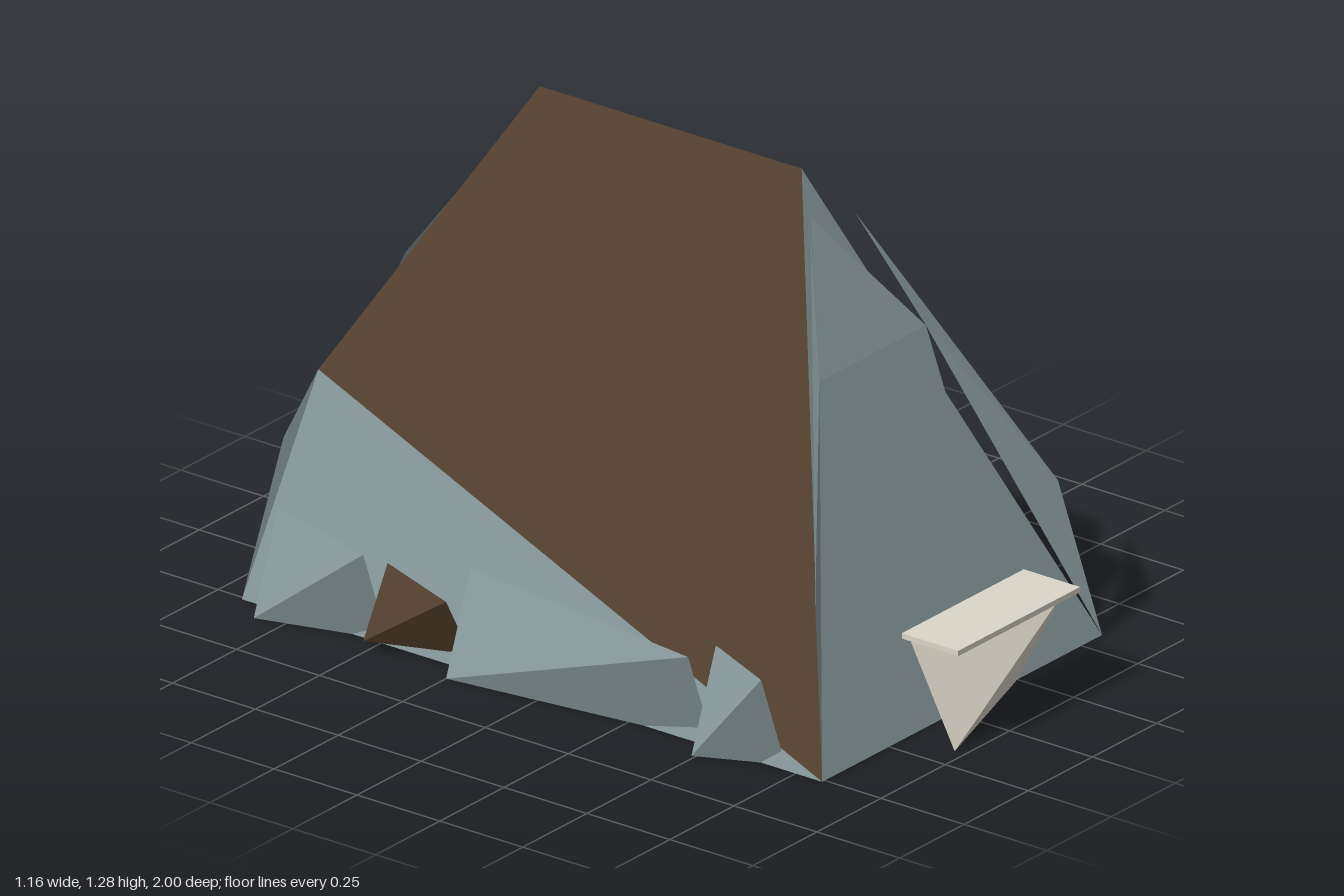
import * as THREE from 'three';

const paint = (name, color) => {
  const m = new THREE.MeshStandardMaterial({ color, side: THREE.DoubleSide });
  m.name = name;
  return m;
};

// Flat faceted mesh from corner loops, each triangle wound away from centre
function facets(name, material, centre, loops) {
  const c = new THREE.Vector3(...centre);
  const tri = new THREE.Triangle(), n = new THREE.Vector3(), mid = new THREE.Vector3();
  const pos = [];
  for (const loop of loops) {
    const p = loop.map((q) => new THREE.Vector3(...q));
    for (let i = 1; i < p.length - 1; i++) {
      tri.set(p[0], p[i], p[i + 1]);
      tri.getNormal(n);
      tri.getMidpoint(mid);
      const t = n.dot(mid.sub(c)) < 0 ? [p[0], p[i + 1], p[i]] : [p[0], p[i], p[i + 1]];
      t.forEach((v) => pos.push(v.x, v.y, v.z));
    }
  }
  const g = new THREE.BufferGeometry();
  g.setAttribute('position', new THREE.Float32BufferAttribute(pos, 3));
  g.computeVertexNormals();
  const mesh = new THREE.Mesh(g, material);
  mesh.name = name;
  return mesh;
}

export function createModel() {
  const model = new THREE.Group();
  model.name = 'cabin';
  const teal = paint('greyTeal', 0x8a9b9d);
  const brown = paint('darkBrown', 0x523f2e);
  const cream = paint('cream', 0xdad6c8);
  const centre = [0.03, 0.4, -0.05];
  const add = (name, mat, loops, c = centre) => model.add(facets(name, mat, c, loops));

  // Main corners of the hull
  const ridgeF = [0.03, 1.28, 0.35], ridgeB = [0.03, 1.28, -0.44];
  const rightF = [-0.51, 0, 0.83], leftF = [0.58, 0, 0.83];
  const rightB = [-0.51, 0, -0.92], leftB = [0.58, 0, -0.92];
  const rightK = [-0.38, 0.59, -0.79], leftK = [0.44, 0.59, -0.79];
  const rightE = [-0.445, 0.42, -0.845], leftE = [0.505, 0.42, -0.845];

  // Roof slopes
  add('leftRoof', brown, [[ridgeF, ridgeB, leftK], [ridgeF, leftK, leftF], [leftF, leftK, leftB]]);
  add('rightRoof', brown, [[ridgeF, ridgeB, rightK], [ridgeF, rightK, rightF]]);

  // Walls and floor
  add('rightWall', teal, [[rightF, rightK, rightB]]);
  add('frontGable', teal, [[rightF, leftF, ridgeF]]);
  add('backWall', teal, [
    [rightB, leftB, leftE, rightE], [rightE, leftE, leftK, rightK], [rightK, leftK, ridgeB]]);
  add('backCorners', teal, [[leftB, leftE, leftK], [rightB, rightE, rightK]]);
  add('floor', teal, [[rightF, leftF, leftB, rightB]]);

  // Raised window panels on both gables
  add('frontWindow', teal, [
    [[-0.185, 0.27, 0.79], [0.23, 0.27, 0.79], [0.23, 0.86, 0.57], [-0.185, 0.86, 0.57]],
    [[-0.185, 0.86, 0.57], [0.23, 0.86, 0.57], [-0.01, 1.18, 0.41]]]);
  const rows = [[0.29, -0.89], [0.45, -0.835], [0.62, -0.79], [0.86, -0.675]];
  const backLoops = [];
  for (let i = 0; i < 3; i++) {
    const [y0, z0] = rows[i], [y1, z1] = rows[i + 1];
    backLoops.push([[-0.19, y0, z0], [0.23, y0, z0], [0.23, y1, z1], [-0.19, y1, z1]]);
  }
  backLoops.push([[-0.19, 0.86, -0.675], [0.23, 0.86, -0.675], [0.03, 1.16, -0.515]]);
  add('backWindow', teal, backLoops);

  // Thin trim sheets standing off the front gable edges
  const trim = (name, foot, elbowX, shoulderX, tipX) => {
    const elbow = [elbowX, 0.41, 0.755], shoulder = [shoulderX, 0.86, 0.57];
    add(name, teal, [[foot, elbow, shoulder], [elbow, [tipX, 1.16, 0.44], shoulder]]);
  };
  trim('rightTrim', rightF, -0.44, -0.185, -0.05);
  trim('leftTrim', leftF, 0.505, 0.23, 0.12);

  // Flush hatch on the right roof slope
  const hatch = (x, z) => [x - 0.004, 1.28 - (0.03 - x) * 1.683 + 0.003, z];
  add('roofHatch', brown, [[hatch(-0.25, -0.5), hatch(-0.17, -0.5), hatch(-0.17, -0.3), hatch(-0.25, -0.3)]]);

  // Four-faced wedges: a, b stand out from the wall, c, d lie against it
  const wedge = (name, mat, mat2, a, b, c, d) => {
    const mid = [0, 1, 2].map((i) => (a[i] + b[i] + c[i] + d[i]) / 4);
    const group = new THREE.Group();
    group.name = name;
    group.add(facets(name + 'Outer', mat, mid, [[a, b, d], [a, b, c]]));
    group.add(facets(name + 'Inner', mat2, mid, [[c, b, d], [a, c, d]]));
    model.add(group);
  };

  // Entrances
  wedge('frontPorch', cream, cream,
    [-0.175, 0, 0.97], [0.25, 0.265, 0.97], [0.25, 0, 0.83], [-0.175, 0.265, 0.83]);
  wedge('backPorch', cream, cream,
    [0.24, 0, -1], [-0.2, 0.265, -1], [-0.2, 0, -0.92], [0.24, 0.265, -0.92]);
  const canopy = new THREE.Mesh(new THREE.BoxGeometry(0.475, 0.014, 0.17), cream);
  canopy.name = 'canopy';
  canopy.position.set(0.0375, 0.272, 0.915);
  model.add(canopy);

  // Row of wedges along the right side
  const sideWedges = [
    [-0.83, -0.5, 0, 0.255, teal], [-0.5, -0.25, 0.03, 0.2, brown],
    [-0.25, 0.48, 0, 0.255, teal], [0.49, 0.7, 0, 0.255, teal]];
  sideWedges.forEach(([z0, z1, y0, y1, mat], i) => wedge('sideWedge' + (i + 1), mat, brown,
    [-0.58, y0, z0], [-0.58, y1, z1], [-0.485, y0, z1], [-0.485, y1, z0]));

  return model;
}
